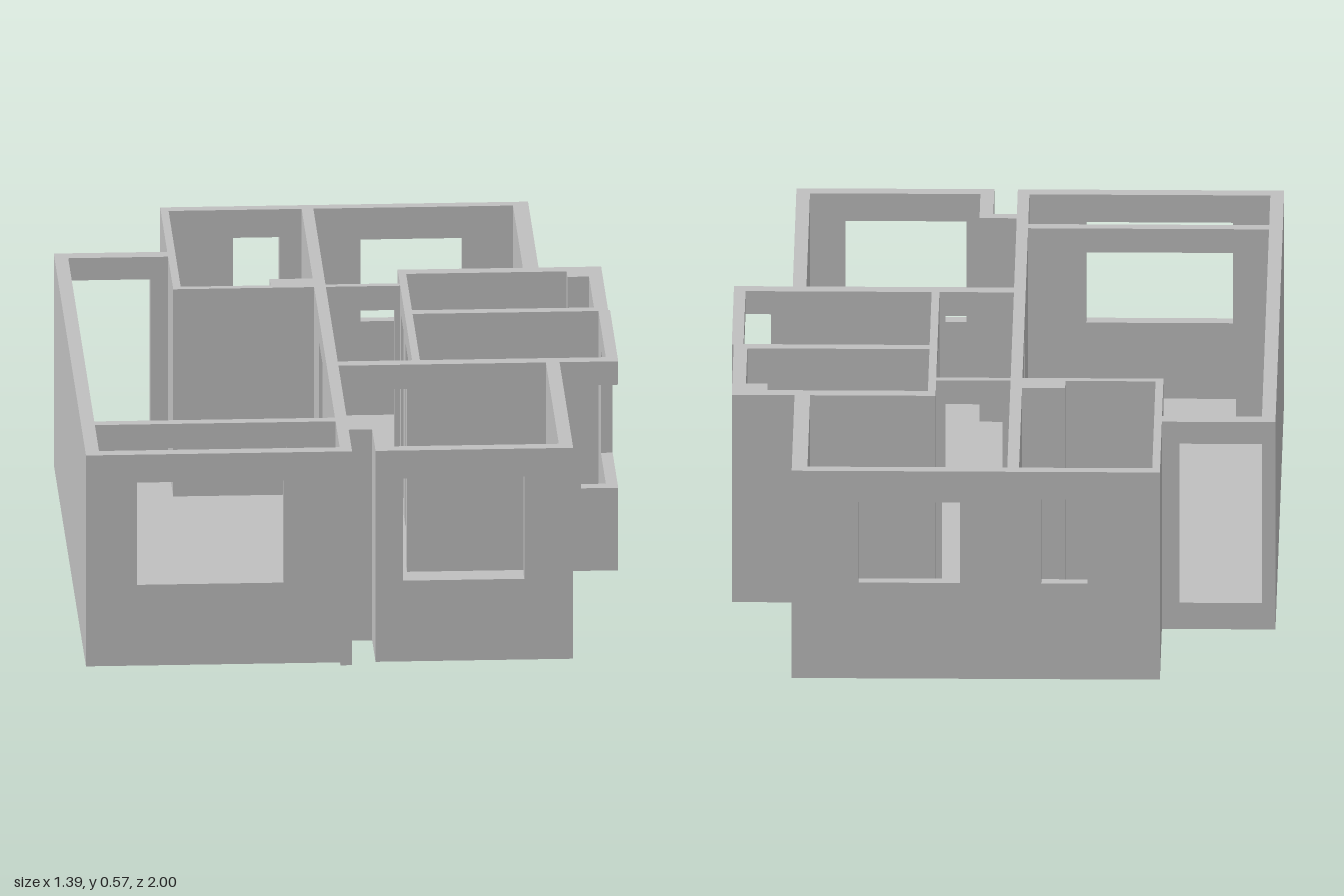
import * as THREE from 'three';

const TOP = 0.575, BASE = 0.008, FLOOR = 0.018;

export function createModel() {
  const model = new THREE.Group();
  model.name = 'floorPlanHouse';
  const plaster = new THREE.MeshStandardMaterial({ color: 0xbfbfbf });
  plaster.name = 'plasterGrey';

  function block(parent, name, x0, x1, y0, y1, z0, z1) {
    if (x1 - x0 < 1e-4 || y1 - y0 < 1e-4) return;
    const mesh = new THREE.Mesh(new THREE.BoxGeometry(x1 - x0, y1 - y0, z1 - z0), plaster);
    mesh.position.set((x0 + x1) / 2, (y0 + y1) / 2, (z0 + z1) / 2);
    mesh.name = name;
    parent.add(mesh);
  }

  // A wall from a to b along one axis, c0 to c1 thick; openings are [from, to, bottom, top]
  function wall(name, axis, a, b, c0, c1, openings = [], base = BASE) {
    const group = new THREE.Group();
    group.name = name;
    const put = (part, u0, u1, y0, y1) => {
      if (u1 - u0 < 1e-4) return;
      if (axis === 'x') block(group, part, u0, u1, y0, y1, c0, c1);
      else block(group, part, c0, c1, y0, y1, u0, u1);
    };
    let u = a;
    for (const [from, to, bottom, top] of openings) {
      put('pier', u, from, base, TOP);
      put('sill', from, to, base, bottom);
      put('lintel', from, to, top, TOP);
      u = to;
    }
    put('pier', u, b, base, TOP);
    model.add(group);
  }
  const door = (from, to) => [from, to, FLOOR, 0.51];

  // Long left room and balcony
  wall('leftOuterWall', 'z', -0.64, 1, -0.7, -0.665);
  wall('balconyFrontWall', 'x', -0.665, -0.05, 0.965, 1, [[-0.57, -0.195, 0.225, 0.5]]);
  wall('balconyInnerWall', 'x', -0.665, -0.05, 0.725, 0.755, [door(-0.58, -0.175)]);
  wall('livingBackWall', 'x', -0.665, -0.41, -0.64, -0.6, [[-0.665, -0.455, 0.08, 0.515]]);

  // Central spine wall
  wall('spineWall', 'z', -0.97, 1, -0.05, -0.02, [door(-0.08, 0.1)], 0);

  // Back rooms
  wall('backWall', 'x', -0.41, 0.53, -1, -0.97,
    [[-0.225, -0.107, 0.27, 0.5], [0.1, 0.36, 0.27, 0.49]]);
  wall('backLeftWall', 'z', -0.97, -0.335, -0.41, -0.39);
  wall('backLeftRoomFrontWall', 'x', -0.39, -0.05, -0.355, -0.335);
  wall('cornerPillar', 'x', -0.16, -0.05, -0.405, -0.355);
  wall('backRightWall', 'z', -0.97, -0.465, 0.49, 0.53);
  wall('bathBackWall', 'x', 0.17, 0.69, -0.465, -0.43);
  wall('hallBackWall', 'x', -0.02, 0.17, -0.355, -0.335, [door(0, 0.155)]);

  // Hall side, bathroom and kitchen
  wall('hallSideWall', 'z', -0.43, 0.27, 0.17, 0.19, [door(-0.295, -0.16), door(-0.07, 0.11)]);
  wall('bathSideWall', 'z', -0.43, -0.11, 0.655, 0.69, [[-0.305, -0.19, 0.27, 0.505]]);
  wall('bathDuct', 'x', 0.6, 0.655, -0.43, -0.385);
  wall('bathKitchenWall', 'x', 0.19, 0.665, -0.135, -0.105);
  // Corner window wraps from the kitchen side to its front
  wall('kitchenSideWall', 'z', -0.11, 0.27, 0.665, 0.695, [[0.02, 0.27, 0.235, 0.512]], 0.013);
  wall('kitchenFrontWall', 'x', -0.02, 0.695, 0.27, 0.305,
    [door(0, 0.155), [0.6, 0.695, 0.235, 0.512]], 0.013);

  // Front right room with its recessed corner
  wall('frontRightSideWall', 'z', 0.305, 1, 0.51, 0.545);
  wall('frontRightWall', 'x', 0.04, 0.51, 0.965, 1, [[0.11, 0.42, 0.225, 0.5]]);
  wall('recessBackWall', 'x', -0.02, 0.075, 0.795, 0.825);
  wall('recessSideWall', 'z', 0.825, 0.965, 0.04, 0.075);

  // Floor slabs, one per room
  const floors = [
    ['livingFloor', -0.665, -0.05, -0.335, 0.725],
    ['livingRearFloor', -0.665, -0.41, -0.6, -0.335],
    ['balconyFloor', -0.665, -0.05, 0.755, 0.965],
    ['backLeftFloor', -0.39, -0.05, -0.97, -0.355],
    ['backRightFloor', -0.02, 0.49, -0.97, -0.465],
    ['backRightEntryFloor', -0.02, 0.17, -0.465, -0.355],
    ['hallFloor', -0.02, 0.17, -0.335, 0.27],
    ['bathFloor', 0.19, 0.655, -0.43, -0.135],
    ['kitchenFloor', 0.19, 0.665, -0.105, 0.27],
    ['frontRightFloor', -0.02, 0.51, 0.305, 0.795],
    ['frontRightBayFloor', 0.075, 0.51, 0.795, 0.965],
  ];
  for (const [name, x0, x1, z0, z1] of floors) block(model, name, x0, x1, 0.011, FLOOR, z0, z1);

  return model;
}
